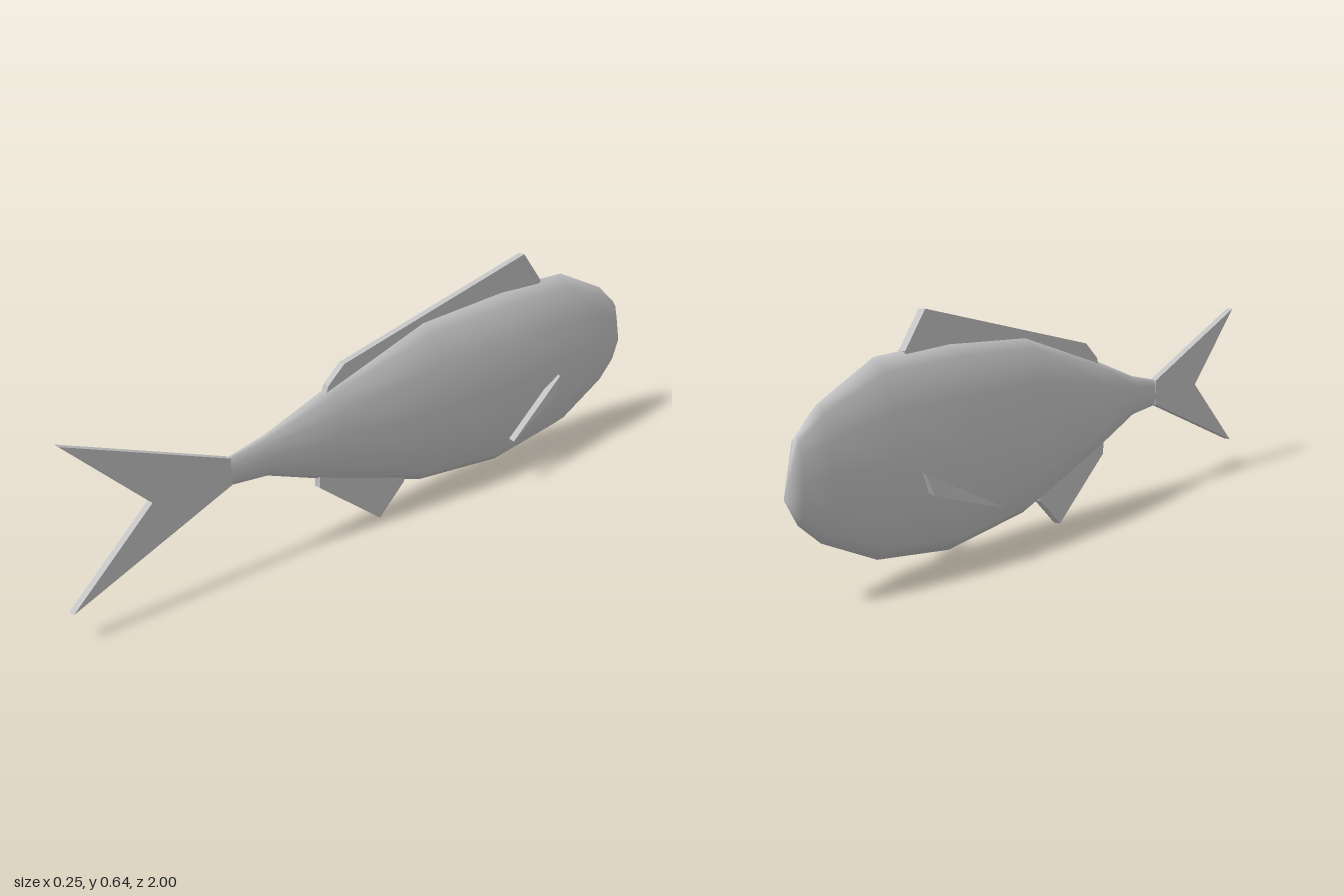
import * as THREE from 'three';
import { mergeVertices } from 'three/addons/utils/BufferGeometryUtils.js';

const SIDES = 12;

// Body stations from nose to tail: z, top y, bottom y, half width
const STATIONS = [
  [-1, 0.265, 0.265, 0],
  [-0.96, 0.4, 0.2, 0.022],
  [-0.89, 0.46, 0.145, 0.041],
  [-0.705, 0.542, 0.065, 0.074],
  [-0.44, 0.552, 0.03, 0.087],
  [-0.13, 0.535, 0.062, 0.076],
  [0.2, 0.433, 0.168, 0.045],
  [0.41, 0.36, 0.245, 0.021],
  [0.54, 0.332, 0.257, 0.009],
  [0.54, 0.295, 0.295, 0],
];

// Smooth skin over elliptical cross-sections
function bodyGeometry() {
  const positions = [], index = [];
  STATIONS.forEach(([z, top, bottom, w], i) => {
    for (let j = 0; j < SIDES; j++) {
      const a = (j / SIDES) * Math.PI * 2;
      positions.push(w * Math.sin(a), (top + bottom) / 2 + ((top - bottom) / 2) * Math.cos(a), z);
      if (i === STATIONS.length - 1) continue;
      const p = i * SIDES + j, q = i * SIDES + ((j + 1) % SIDES);
      index.push(p, p + SIDES, q, p + SIDES, q + SIDES, q);
    }
  });
  let g = new THREE.BufferGeometry();
  g.setAttribute('position', new THREE.Float32BufferAttribute(positions, 3));
  g.setIndex(index);
  g = mergeVertices(g, 1e-5);
  g.computeVertexNormals();
  return g;
}

// Flat fin in the middle plane, outlined by [z, y] points
function middleFin(points) {
  const shape = new THREE.Shape(points.map(([z, y]) => new THREE.Vector2(z, y)));
  const g = new THREE.ExtrudeGeometry(shape, { depth: 0.02, bevelEnabled: false });
  return g.rotateY(-Math.PI / 2).translate(0.01, 0, 0);
}

// Slanted triangular side fin; side is +1 or -1
function sideFin(side) {
  const outer = [[0.083, 0.265, -0.625], [0.127, 0.142, -0.38], [0.09, 0.21, -0.6]]
    .map(([x, y, z]) => [x * side, y, z]);
  if (side < 0) outer.reverse();
  const inner = outer.map(([x, y, z]) => [x - 0.018 * side, y + 0.004, z]);
  const corners = [...outer, inner[2], inner[1], inner[0]];
  for (let i = 0; i < 3; i++) {
    const j = (i + 1) % 3;
    corners.push(outer[j], outer[i], inner[i], outer[j], inner[i], inner[j]);
  }
  const g = new THREE.BufferGeometry();
  g.setAttribute('position', new THREE.Float32BufferAttribute(corners.flat(), 3));
  g.computeVertexNormals();
  return g;
}

export function createModel() {
  const fish = new THREE.Group();
  fish.name = 'fish';
  const grey = new THREE.MeshStandardMaterial({ color: 0xc0c0c0 });
  grey.name = 'light grey';

  const add = (name, geometry) => {
    const mesh = new THREE.Mesh(geometry, grey);
    mesh.name = name;
    fish.add(mesh);
  };

  add('body', bodyGeometry());
  add('tailFin', middleFin([[0.53, 0.332], [0.53, 0.26], [1, 0.08], [0.765, 0.29], [1, 0.505]]));
  // Fin roots run inside the body
  add('dorsalFin', middleFin([[0.22, 0.41], [0.21, 0.437], [0.155, 0.483], [-0.53, 0.638], [-0.605, 0.545], [-0.58, 0.5], [-0.13, 0.5]]));
  add('analFin', middleFin([[0.245, 0.2], [0.245, 0.16], [0.03, 0], [-0.06, 0.08], [-0.08, 0.13]]));
  add('leftSideFin', sideFin(1));
  add('rightSideFin', sideFin(-1));
  return fish;
}
